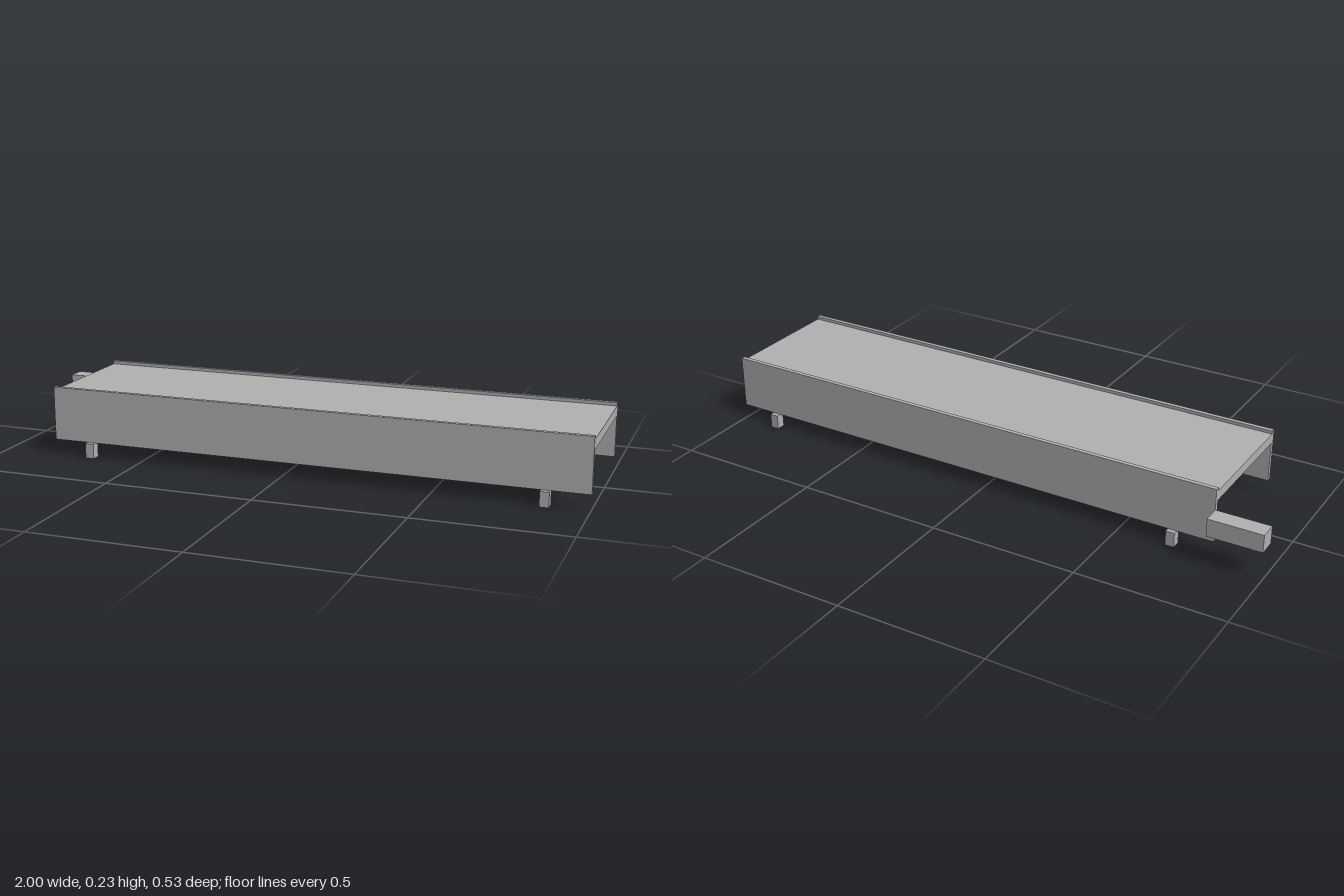
import * as THREE from 'three';

export function createModel() {
  const model = new THREE.Group();
  const greyMetal = new THREE.MeshStandardMaterial({ color: 0xb2b2b2 });
  greyMetal.name = 'grey metal';

  // Box given by its lower and upper limits on each axis
  function block(name, [x0, x1], [y0, y1], [z0, z1]) {
    const mesh = new THREE.Mesh(new THREE.BoxGeometry(x1 - x0, y1 - y0, z1 - z0), greyMetal);
    mesh.position.set((x0 + x1) / 2, (y0 + y1) / 2, (z0 + z1) / 2);
    mesh.name = name;
    model.add(mesh);
  }

  const length = [-0.818, 1];

  // Conveyor bed between the side rails
  block('deck', length, [0.188, 0.221], [-0.188, 0.233]);

  // Tall side rails, rising slightly above the deck
  block('frontRail', length, [0.05, 0.232], [0.233, 0.248]);
  block('backRail', length, [0.05, 0.232], [-0.203, -0.188]);

  // Short feet under each rail
  for (const x of [-0.682, 0.86]) {
    block('frontFoot', [x - 0.015, x + 0.015], [0, 0.05], [0.233, 0.265]);
    block('backFoot', [x - 0.015, x + 0.015], [0, 0.05], [-0.219, -0.188]);
  }

  // Drive box beyond the end of the back rail
  block('driveBox', [-1, -0.818], [0.102, 0.162], [-0.264, -0.203]);

  return model;
}
